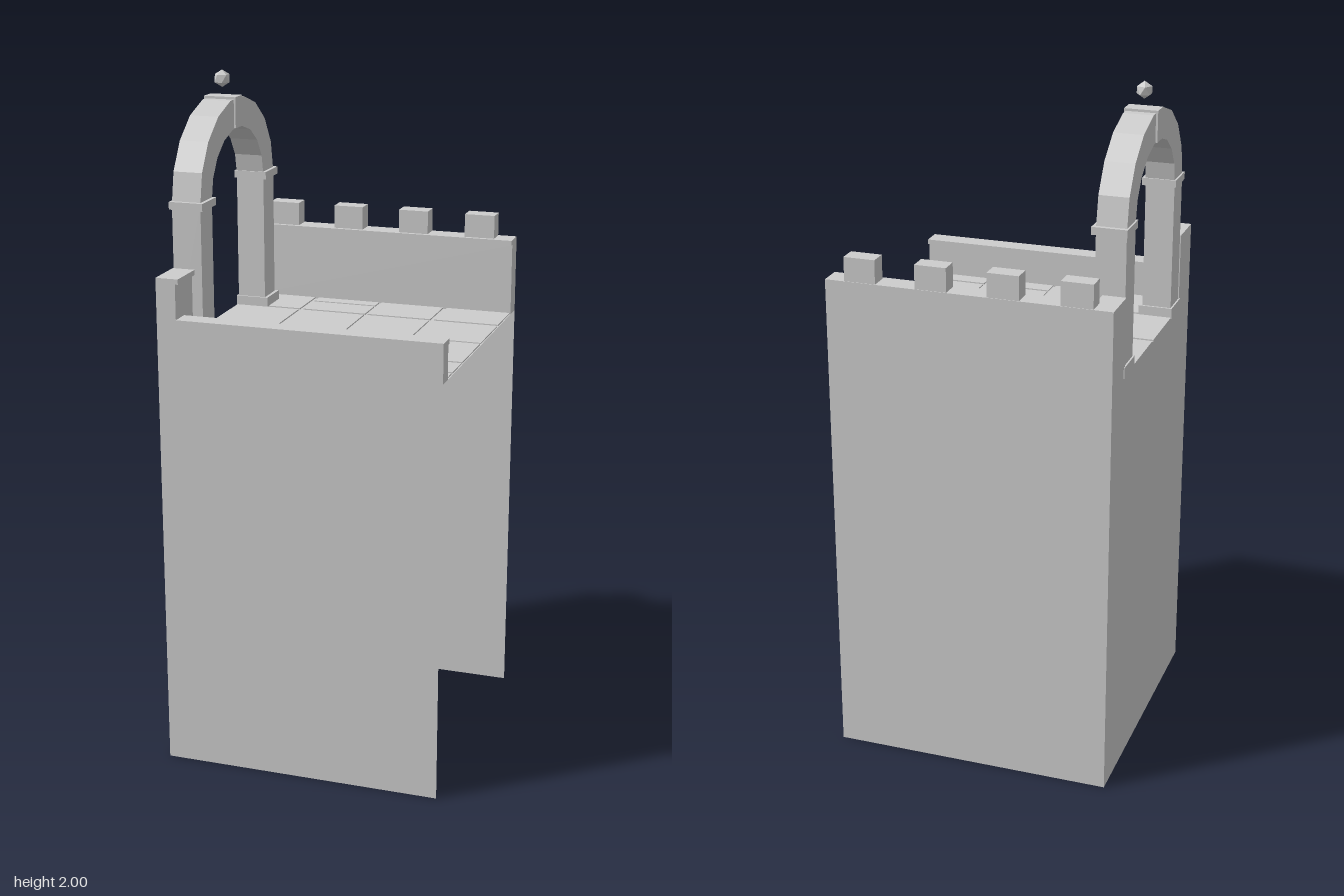
import * as THREE from 'three';

export function createModel() {
  const model = new THREE.Group();
  const stone = new THREE.MeshStandardMaterial({ color: 0xcccccc, side: THREE.DoubleSide, flatShading: true });
  stone.name = 'grey stone';

  const add = (name, geometry, parent = model) => {
    const mesh = new THREE.Mesh(geometry, stone);
    mesh.name = name;
    parent.add(mesh);
    return mesh;
  };
  // Box given by its lower and upper limits on each axis
  const box = (name, x0, x1, y0, y1, z0, z1, parent) =>
    add(name, new THREE.BoxGeometry(x1 - x0, y1 - y0, z1 - z0), parent)
      .position.set((x0 + x1) / 2, (y0 + y1) / 2, (z0 + z1) / 2);
  const group = (name) => {
    const g = new THREE.Group();
    g.name = name;
    model.add(g);
    return g;
  };

  const R = 0.415, FLOOR = 1.25, BED = 1.246;

  // Three thin walls, open on the +x side and underneath
  const walls = group('walls');
  const wall = (name, x, z, turn) => {
    const m = add(name, new THREE.PlaneGeometry(2 * R, BED), walls);
    m.position.set(x, BED / 2, z);
    m.rotation.y = turn;
  };
  wall('frontWall', 0, R, 0);
  wall('backWall', 0, -R, Math.PI);
  wall('sideWall', -R, 0, -Math.PI / 2);

  // Floor bed with raised paving slabs
  const floor = group('floor');
  const bed = add('floorBed', new THREE.PlaneGeometry(2 * R, 2 * R), floor);
  bed.rotation.x = -Math.PI / 2;
  bed.position.y = BED;
  const columns = [[-R, -0.214], [-0.202, -0.004], [0.004, 0.202], [0.214, 0.412]];
  const rows = [[-0.36, -0.214], [-0.202, -0.005], [0.005, 0.202], [0.213, 0.367]];
  const splits = { '1,0': -0.313, '1,2': 0.103, '2,3': 0.312, '3,3': 0.312 };
  columns.forEach(([x0, x1], c) => rows.forEach(([z0, z1], r) => {
    const s = splits[`${c},${r}`];
    const parts = s === undefined ? [[z0, z1]] : [[z0, s - 0.005], [s + 0.005, z1]];
    parts.forEach(([a, b]) => box('pavingSlab', x0, x1, BED, FLOOR, a, b, floor));
  }));

  // Parapets, each with a slightly overhanging coping
  const parapets = group('parapets');
  box('frontParapet', -R, R, BED, 1.345, 0.367, R, parapets);
  box('frontCoping', -R, R, 1.345, 1.36, 0.356, R, parapets);
  box('backParapet', -R, R, BED, 1.462, -R, -0.36, parapets);
  box('backCoping', -R, R, 1.462, 1.477, -R, -0.348, parapets);
  box('sideParapetFront', -R, -0.357, BED, 1.462, 0.293, R, parapets);
  box('sideCopingFront', -R, -0.348, 1.462, 1.477, 0.293, R, parapets);
  box('sideParapetBack', -R, -0.357, BED, 1.462, -0.36, -0.293, parapets);
  box('sideCopingBack', -R, -0.348, 1.462, 1.477, -0.348, -0.293, parapets);
  for (let i = 0; i < 4; i++) {
    const x = -0.313 + i * 0.2083;
    box('merlon', x - 0.046, x + 0.046, 1.477, 1.547, -0.413, -0.36, parapets);
  }

  // Archway: two pillars with plinths and capitals
  const archway = group('archway');
  for (const s of [-1, 1]) {
    const block = (name, x0, x1, y0, y1, a, b) =>
      box(name, x0, x1, y0, y1, Math.min(s * a, s * b), Math.max(s * a, s * b), archway);
    block('pillar', -0.412, -0.326, BED, 1.66, 0.207, 0.293);
    block('plinth', -0.417, -0.316, BED, 1.278, 0.201, 0.304);
    block('capital', -0.417, -0.316, 1.647, 1.669, 0.201, 0.304);
  }
  // Arch ring of nine straight segments
  const SEG = 9, SPRING = 1.66;
  const arc = (rz, ry) => Array.from({ length: SEG + 1 }, (_, i) => {
    const a = (Math.PI * i) / SEG;
    return new THREE.Vector2(rz * Math.cos(a), SPRING + ry * Math.sin(a));
  });
  const ring = new THREE.Shape([...arc(0.293, 0.263), ...arc(0.207, 0.177).reverse()]);
  const ringGeometry = new THREE.ExtrudeGeometry(ring, { depth: 0.086, bevelEnabled: false });
  ringGeometry.rotateY(-Math.PI / 2).translate(-0.326, 0, 0);
  add('archRing', ringGeometry, archway);
  box('keystone', -0.418, -0.321, 1.837, 1.926, -0.026, 0.026, archway);

  // Faceted ball over the keystone, one corner pointing up
  const ball = new THREE.IcosahedronGeometry(0.025, 0);
  ball.rotateZ(Math.atan(2 / (1 + Math.sqrt(5))));
  add('finial', ball, archway).position.set(-0.371, 1.975, 0);

  return model;
}
